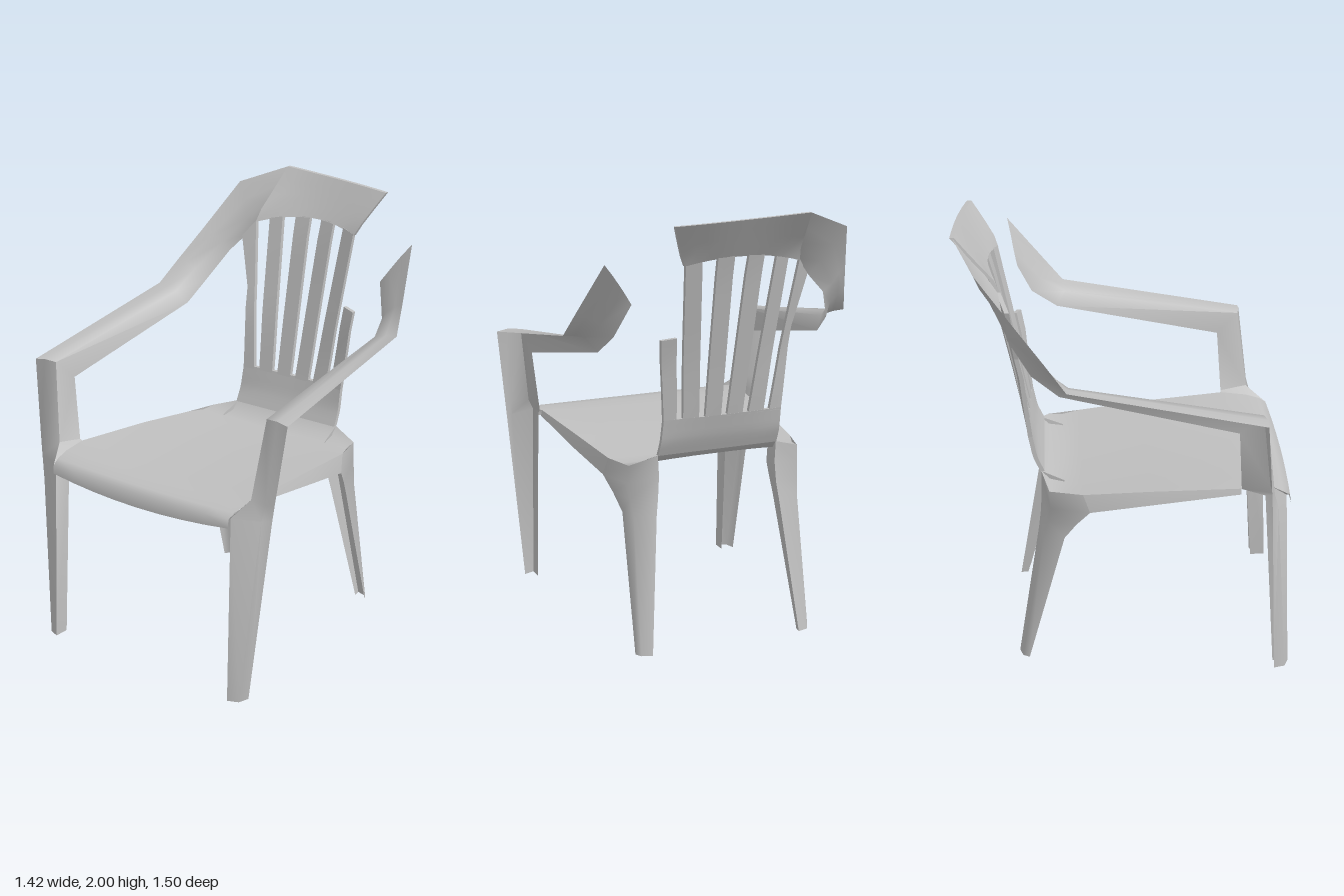
import * as THREE from 'three';
import { toCreasedNormals } from 'three/addons/utils/BufferGeometryUtils.js';

export function createModel() {
  const chair = new THREE.Group();
  chair.name = 'brokenPlasticChair';
  const plastic = new THREE.MeshStandardMaterial({ color: 0xbfbfbf, side: THREE.DoubleSide });
  plastic.name = 'greyPlastic';

  const add = (name, geometry) => {
    const mesh = new THREE.Mesh(geometry, plastic);
    mesh.name = name;
    chair.add(mesh);
  };

  // Open sheet through rows of points; side = -1 mirrors it in x
  function loft(name, rows, side = 1, crease = 1.1) {
    const n = rows[0].length, index = [];
    for (let i = 0; i < rows.length - 1; i++) {
      for (let j = 0; j < n - 1; j++) {
        const a = i * n + j, b = a + n;
        index.push(a, b, a + 1, a + 1, b, b + 1);
      }
    }
    const points = rows.flat().map(([x, y, z]) => [x * side, y, z]);
    const g = new THREE.BufferGeometry();
    g.setAttribute('position', new THREE.Float32BufferAttribute(points.flat(), 3));
    g.setIndex(index);
    add(name, toCreasedNormals(g, crease));
  }

  // Depth of the backrest: curved across the slats, flatter towards the top
  const clamp = THREE.MathUtils.clamp, mix = THREE.MathUtils.lerp;
  const profile = [[0.9, -0.382], [0.97, -0.415], [1.07, -0.445], [1.8, -0.61], [2.0, -0.745]];
  function backZ(x, y) {
    let i = 0;
    while (i < profile.length - 2 && y > profile[i + 1][0]) i++;
    const [y0, z0] = profile[i], [y1, z1] = profile[i + 1];
    const bend = 0.5 * clamp((y - 0.95) / 0.4, 0, 1) - 0.4 * clamp((y - 1.8) / 0.2, 0, 1);
    const skew = 0.04 * clamp((y - 1.8) / 0.2, 0, 1) * x;
    return z0 + (z1 - z0) * (y - y0) / (y1 - y0) + bend * x * x + skew;
  }

  // Thick panel lying on the backrest curve, at(u, v) gives its x and y
  function panel(name, at, nx, ny) {
    const g = new THREE.BoxGeometry(1, 1, 0.02, nx, ny, 1);
    const p = g.attributes.position;
    for (let i = 0; i < p.count; i++) {
      const [x, y] = at(p.getX(i) + 0.5, p.getY(i) + 0.5);
      p.setXYZ(i, x, y, backZ(x, y) + p.getZ(i));
    }
    g.computeVertexNormals();
    add(name, g);
  }
  const quad = (bl, br, tr, tl) => (u, v) => [0, 1].map(k =>
    mix(mix(bl[k], br[k], u), mix(tl[k], tr[k], u), v));
  const slotTop = x => 1.81 - 0.55 * x * x;

  // Seat: [half width, edge y, centre y, edge z, centre z], front lip to back
  const seatRows = [
    [0.5, 0.82, 0.79, 0.725, 0.738], [0.5, 0.86, 0.855, 0.72, 0.734],
    [0.505, 0.88, 0.876, 0.685, 0.7], [0.515, 0.894, 0.885, 0.62, 0.62],
    [0.522, 0.905, 0.885, 0.5, 0.5], [0.488, 0.88, 0.865, 0.1, 0.1],
    [0.455, 0.853, 0.842, -0.2, -0.2], [0.425, 0.847, 0.84, -0.28, -0.28],
    [0.415, 0.853, 0.862, -0.35, -0.345], [0.29, 0.895, 0.9, -0.385, -0.382],
  ];
  loft('seat', seatRows.map(([w, ye, yc, ze, zc]) =>
    Array.from({ length: 9 }, (_, j) => {
      const t = j / 4 - 1;
      return [w * t, mix(yc, ye, t * t), mix(zc, ze, t * t)];
    })));

  // Lower backrest and slats
  panel('backrestBase', quad([-0.29, 0.895], [0.29, 0.895], [0.285, 1.07], [-0.285, 1.07]), 8, 6);
  const slots = [[-0.21, -0.273], [-0.105, -0.143], [0, 0], [0.105, 0.14], [0.21, 0.275]];
  for (let i = 0; i < 4; i++) {
    const [b0, t0] = slots[i], [b1, t1] = slots[i + 1];
    const l = t0 + 0.033, r = t1 - 0.033;
    panel('backSlat', quad([b0 + 0.015, 1.06], [b1 - 0.015, 1.06],
      [r, slotTop(r) + 0.005], [l, slotTop(l) + 0.005]), 1, 8);
  }
  panel('outerSlatLower', quad([-0.285, 1.06], [-0.225, 1.06], [-0.267, 1.45], [-0.303, 1.45]), 1, 4);
  panel('outerSlatUpper', quad([-0.303, 1.45], [-0.267, 1.45], [-0.305, 1.765], [-0.362, 1.69]), 1, 4);
  panel('brokenSlat', quad([0.225, 1.06], [0.285, 1.06], [0.315, 1.44], [0.25, 1.45]), 1, 4);

  // Top rail, snapped off on one side
  panel('topRail', (u, v) => {
    const xb = mix(-0.306, 0.246, u);
    return [mix(xb, mix(-0.26, 0.34, u), v), mix(slotTop(xb), mix(2, 1.97, u), v)];
  }, 10, 4);

  // Arm running down into the front leg: outer edge, bend, crease, inner wall edge
  const armAndLeg = [
    [[0.685, 1.45, -0.27], [0.63, 1.445, -0.265], [0.575, 1.43, -0.26], [0.535, 1.37, -0.3]],
    [[0.71, 1.29, 0.59], [0.655, 1.3, 0.59], [0.595, 1.295, 0.58], [0.575, 1.2, 0.48]],
    [[0.668, 0.93, 0.62], [0.632, 0.93, 0.635], [0.548, 0.93, 0.625], [0.535, 0.91, 0.5]],
    [[0.66, 0.86, 0.625], [0.625, 0.86, 0.655], [0.5, 0.86, 0.705], [0.505, 0.86, 0.61]],
    [[0.57, 0, 0.67], [0.555, 0, 0.72], [0.505, 0, 0.74], [0.505, 0, 0.67]],
  ];
  const shoulder = [
    [[0.26, 2, -0.748], [0.275, 1.92, -0.685], [0.29, 1.84, -0.61], [0.306, 1.76, -0.555]],
    [[0.485, 1.91, -0.655], [0.435, 1.83, -0.63], [0.395, 1.75, -0.59], [0.362, 1.685, -0.54]],
    [[0.575, 1.7, -0.48], [0.535, 1.67, -0.495], [0.49, 1.635, -0.52], [0.445, 1.6, -0.52]],
    [[0.637, 1.56, -0.36], [0.6, 1.545, -0.37], [0.555, 1.515, -0.38], [0.515, 1.46, -0.42]],
  ];
  const brokenEnd = [
    [[0.588, 1.8, -0.53], [0.54, 1.74, -0.515], [0.49, 1.67, -0.5], [0.45, 1.61, -0.485]],
    [[0.653, 1.57, -0.36], [0.61, 1.55, -0.37], [0.555, 1.51, -0.38], [0.508, 1.46, -0.42]],
  ];
  loft('rightArmAndFrontLeg', [...shoulder, ...armAndLeg], -1);
  loft('leftArmAndFrontLeg', [...brokenEnd, ...armAndLeg]);

  // Rear leg channel: front outer edge, outer back, inner back, front inner edge
  const rearLeg = [
    [[0.455, 0.853, -0.2], [0.415, 0.853, -0.35], [0.29, 0.895, -0.385], [0.3, 0.85, -0.28]],
    [[0.47, 0.77, -0.17], [0.42, 0.77, -0.345], [0.285, 0.8, -0.385], [0.295, 0.77, -0.28]],
    [[0.445, 0.7, -0.23], [0.415, 0.7, -0.36], [0.292, 0.7, -0.39], [0.305, 0.7, -0.29]],
    [[0.422, 0.62, -0.285], [0.405, 0.62, -0.38], [0.303, 0.62, -0.4], [0.315, 0.62, -0.31]],
    [[0.432, 0, -0.455], [0.415, 0, -0.485], [0.365, 0, -0.5], [0.37, 0, -0.465]],
  ];
  // Skirt under the seat edge, deepening towards the rear leg
  const skirt = [
    [[0.522, 0.905, 0.5], [0.53, 0.88, 0.5]],
    [[0.488, 0.88, 0.1], [0.505, 0.82, 0.1]],
    [[0.455, 0.853, -0.2], [0.47, 0.77, -0.17]],
  ];
  // Short gusset joining seat and front leg
  const gusset = [
    [[0.522, 0.905, 0.5], [0.535, 0.91, 0.5]],
    [[0.515, 0.894, 0.62], [0.548, 0.93, 0.625]],
    [[0.5, 0.86, 0.72], [0.5, 0.86, 0.705]],
  ];
  for (const [label, side] of [['left', 1], ['right', -1]]) {
    loft(label + 'RearLeg', rearLeg, side, 1.45);
    loft(label + 'SeatSkirt', skirt, side);
    loft(label + 'FrontGusset', gusset, side);
  }
  return chair;
}
